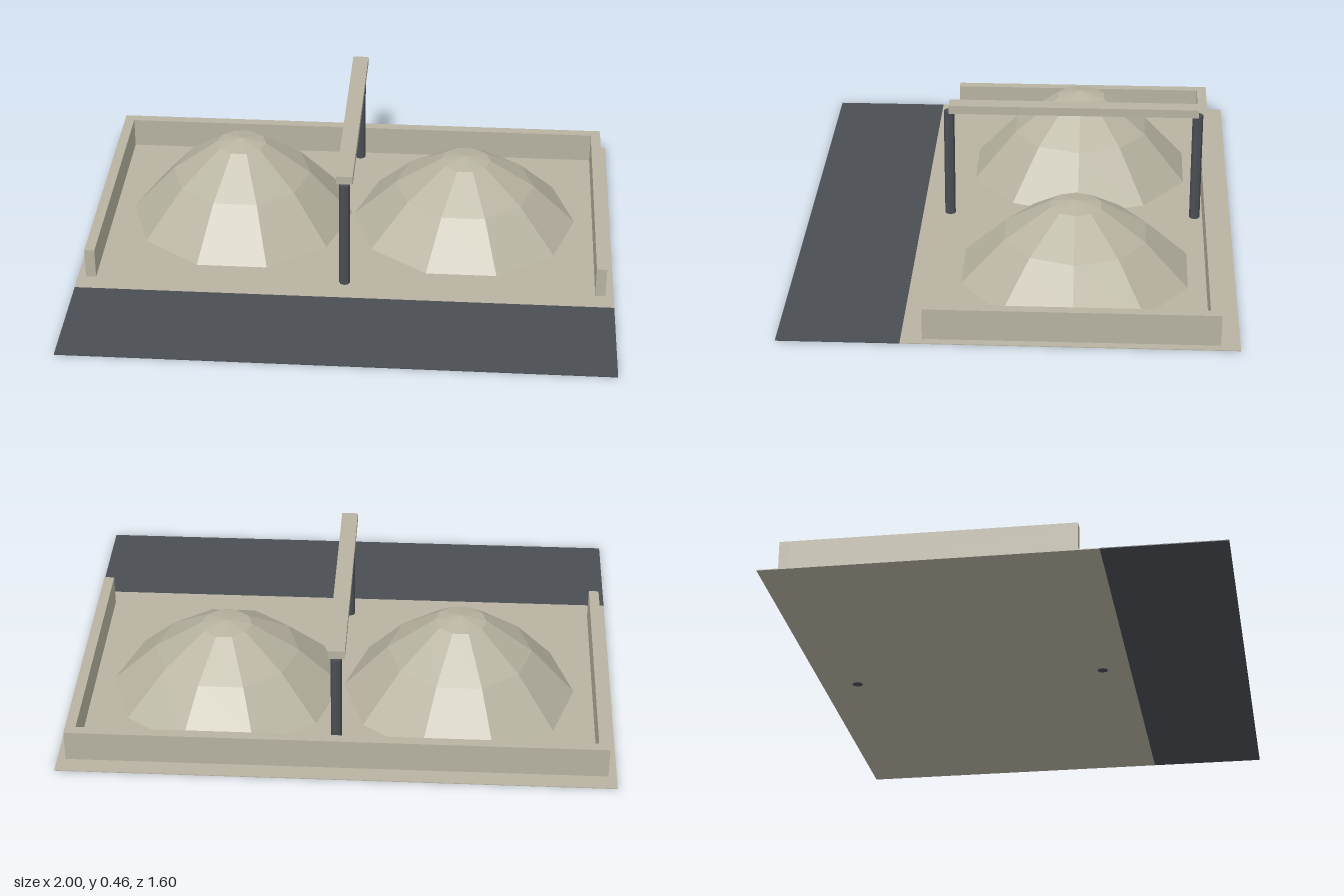
import * as THREE from 'three';

export function createModel() {
  const root = new THREE.Group();
  root.name = 'storageYard';
  const concrete = new THREE.MeshStandardMaterial({ color: 0xb8b3a1, flatShading: true });
  concrete.name = 'concrete';
  const darkSteel = new THREE.MeshStandardMaterial({ color: 0x4a4e54, flatShading: true });
  darkSteel.name = 'dark steel';

  const add = (name, geometry, material, x, y, z) => {
    const mesh = new THREE.Mesh(geometry, material);
    mesh.name = name;
    mesh.position.set(x, y, z);
    root.add(mesh);
    return mesh;
  };
  // Box given by its min and max corners
  const box = (name, material, [x0, y0, z0], [x1, y1, z1]) =>
    add(name, new THREE.BoxGeometry(x1 - x0, y1 - y0, z1 - z0), material,
      (x0 + x1) / 2, (y0 + y1) / 2, (z0 + z1) / 2);

  // Thin ground slabs
  box('yardSlab', concrete, [-1, 0.001, -0.8], [1, 0.004, 0.37]);
  box('frontApron', darkSteel, [-1, 0.001, 0.37], [1, 0.004, 0.8]);

  // Low wall around three sides
  box('backWall', concrete, [-0.97, 0.002, -0.733], [0.97, 0.12, -0.695]);
  box('leftWall', concrete, [0.932, 0.002, -0.695], [0.97, 0.12, 0.295]);
  box('rightWall', concrete, [-0.97, 0.002, -0.695], [-0.932, 0.12, 0.295]);

  // Ten-sided heaps, the one on the right is taller
  const profile = [[0.43, 0], [0.267, 0.55], [0.095, 0.935], [0, 1]];
  for (const [name, x, height] of [['rightHeap', -0.433, 0.328], ['leftHeap', 0.433, 0.28]]) {
    const points = profile.map(([r, h]) => new THREE.Vector2(r, h * height));
    const heap = add(name, new THREE.LatheGeometry(points, 10), concrete, x, 0.003, -0.22);
    heap.rotation.y = Math.PI / 2;
  }

  // Gantry between the heaps
  for (const [name, z] of [['frontPost', 0.267], ['backPost', -0.665]]) {
    add(name, new THREE.CylinderGeometry(0.02, 0.02, 0.43, 8), darkSteel, 0, 0.215, z);
  }
  box('gantryBeam', concrete, [-0.03, 0.43, -0.667], [0.03, 0.462, 0.267]);

  return root;
}
